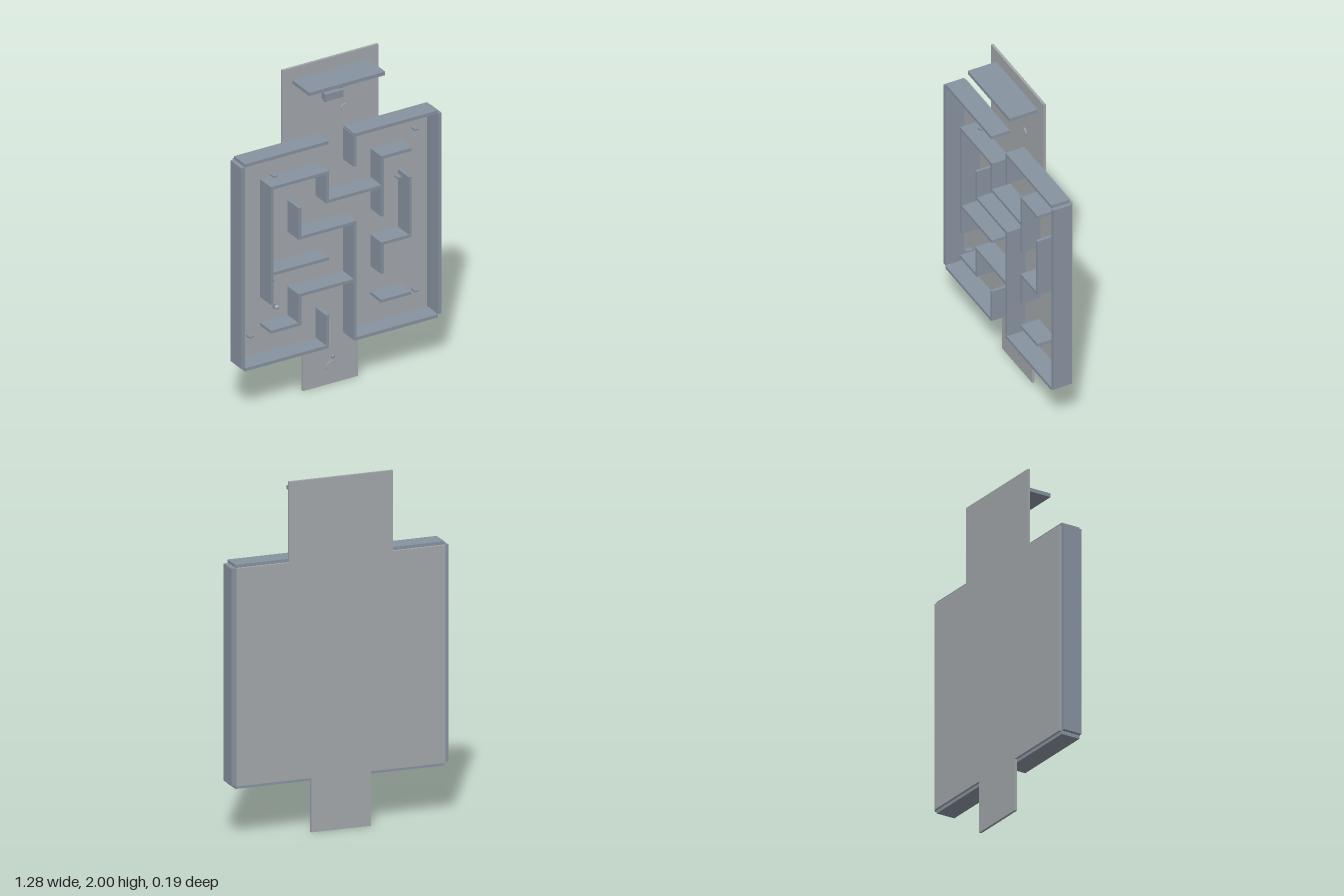
import * as THREE from 'three';

const board = new THREE.MeshStandardMaterial({ color: 0xa3a7ab });
board.name = 'board grey';
const wall = new THREE.MeshStandardMaterial({ color: 0x8792a0 });
wall.name = 'wall slate';

const FLOOR = -0.08; // front face of the backboard
const MID = 0.925;   // height of the maze centre

export function createModel() {
  const model = new THREE.Group();
  model.name = 'wallMaze';

  function add(name, geometry, material, x, y, z) {
    const mesh = new THREE.Mesh(geometry, material);
    mesh.name = name;
    mesh.position.set(x, y, z);
    model.add(mesh);
    return mesh;
  }
  // Box given by its limits
  function box(name, material, x0, x1, y0, y1, z0, z1) {
    return add(name, new THREE.BoxGeometry(x1 - x0, y1 - y0, z1 - z0), material,
      (x0 + x1) / 2, (y0 + y1) / 2, (z0 + z1) / 2);
  }

  // Backboard: one cross-shaped plate
  const outline = new THREE.Shape([
    [-0.175, 0], [0.175, 0], [0.175, 0.308], [0.615, 0.308], [0.615, 1.542], [0.305, 1.542],
    [0.305, 2], [-0.305, 2], [-0.305, 1.542], [-0.615, 1.542], [-0.615, 0.308], [-0.175, 0.308],
  ].map(([x, y]) => new THREE.Vector2(x, y)));
  add('backboard', new THREE.ExtrudeGeometry(outline, { depth: 0.015, bevelEnabled: false }),
    board, 0, 0, -0.095);

  // Outer frame, open in the middle at top and bottom
  for (const s of [-1, 1]) {
    const xs = [s * 0.615, s * 0.638].sort((a, b) => a - b);
    box('sideFrame', wall, xs[0], xs[1], 0.31, 1.54, FLOOR, 0.035);
    const ends = [s * 0.083, s * 0.615].sort((a, b) => a - b);
    box('bottomFrame', wall, ends[0], ends[1], 0.29, 0.309, FLOOR, 0.035);
    box('topFrame', wall, ends[0], ends[1], 1.541, 1.56, FLOOR, 0.035);
  }

  // Inner walls on a grid of 0.176: [x0, y0, x1, y1] in half cells from the centre
  const H = 0.088, T = 0.009;
  const walls = [
    [-5, 5, -1, 5], [-5, -3, -5, 5], [-1, 3, -1, 5], [-1, 3, 3, 3],
    [3, 1, 3, 5], [3, 5, 5, 5], [-3, 1, -3, 3], [-3, 1, 1, 1],
    [1, -7, 1, 1], [-5, -1, -1, -1], [-3, -3, 1, -3], [-3, -5, -3, -3],
    [-5, -5, -3, -5], [5, -1, 5, 3], [3, -1, 5, -1], [3, -3, 3, -1],
    [3, -5, 5, -5], [-1, -7, -1, -5], [1, 5, 1, 7],
  ];
  for (const [x0, y0, x1, y1] of walls) {
    box('mazeWall', wall, x0 * H - T, x1 * H + T, MID + y0 * H - T, MID + y1 * H + T, FLOOR, 0.033);
  }

  // Top shelf and the small box under it
  box('shelf', wall, -0.242, 0.242, 1.903, 1.925, FLOOR, 0.095);
  box('startBox', wall, -0.056, 0.056, 1.761, 1.805, FLOOR, -0.038);
  add('startBall', new THREE.SphereGeometry(0.011, 20, 12), wall, -0.045, 1.76, -0.058);

  // U-shaped bar below the shelf
  const r = 0.075;
  const path = [new THREE.Vector3(-r, 0, FLOOR), new THREE.Vector3(-r, 0, -0.05)];
  for (let i = 0; i <= 12; i++) {
    const a = Math.PI * (1 - i / 12);
    path.push(new THREE.Vector3(r * Math.cos(a), 0, -0.048 + r * Math.sin(a)));
  }
  path.push(new THREE.Vector3(r, 0, -0.05), new THREE.Vector3(r, 0, FLOOR));
  add('hoop', new THREE.TubeGeometry(new THREE.CatmullRomCurve3(path), 40, 0.008, 10),
    board, 0, 1.869, 0);

  // Thin round pads on the board
  for (const [x, y, radius] of [[0.09, 1.672, 0.024], [0, 0.11, 0.03]]) {
    const pad = add('roundPad', new THREE.CylinderGeometry(radius, radius, 0.008, 32), board, x, y, FLOOR + 0.003);
    pad.rotation.x = Math.PI / 2;
  }

  // Ball at the exit
  add('exitBall', new THREE.SphereGeometry(0.011, 20, 12), wall, 0, 0.18, -0.055);

  // Small pegs
  const pegs = [[-0.373, 1.386], [0.527, 1.432], [0.418, 1.166], [-0.395, 0.75], [-0.527, 0.442], [0.527, 0.442]];
  for (const [x, y] of pegs) {
    box('peg', wall, x - 0.013, x + 0.013, y - 0.005, y + 0.005, FLOOR, -0.04);
  }

  // Square knob with a ball in it
  box('knobBase', wall, -0.37, -0.338, 0.56, 0.588, FLOOR, -0.07);
  add('knobBall', new THREE.SphereGeometry(0.013, 20, 12), board, -0.354, 0.574, -0.06);

  return model;
}
